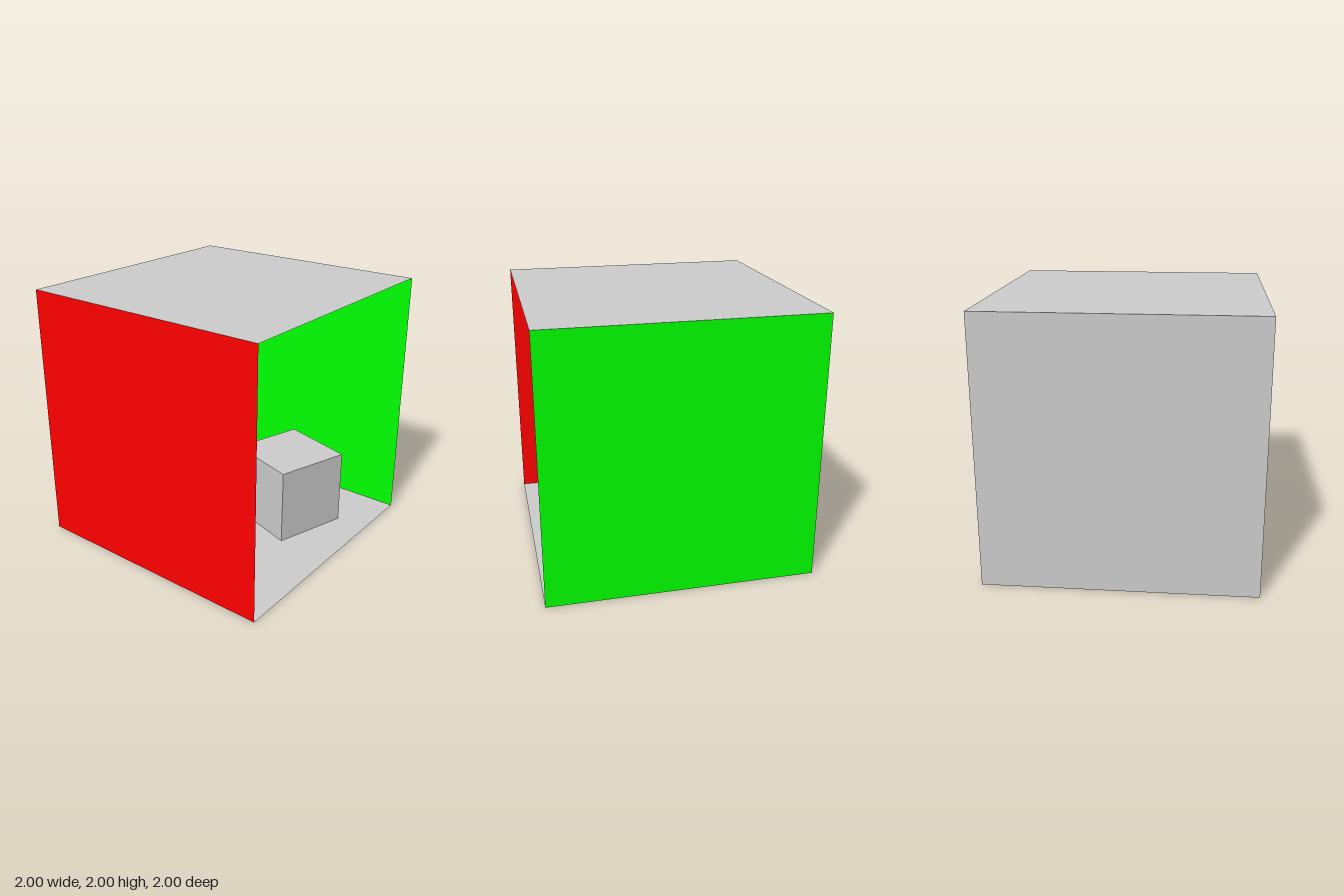
import * as THREE from 'three';

const material = (color, side = THREE.FrontSide) =>
  new THREE.MeshStandardMaterial({ color, side });

export function createModel() {
  const room = new THREE.Group();
  room.name = 'room';

  const grey = material(0xcccccc);
  const greySheet = material(0xcccccc, THREE.DoubleSide);
  const red = material(0xff0000, THREE.DoubleSide);
  const green = material(0x00ff00, THREE.DoubleSide);

  // Thin panels of the room, open at the front: name, material, position, rotation
  const panels = [
    ['floor', greySheet, [0, 0, 0], [-Math.PI / 2, 0, 0]],
    ['ceiling', greySheet, [0, 2, 0], [Math.PI / 2, 0, 0]],
    ['backWall', greySheet, [0, 1, -1], [0, 0, 0]],
    ['redWall', red, [-1, 1, 0], [0, Math.PI / 2, 0]],
    ['greenWall', green, [1, 1, 0], [0, -Math.PI / 2, 0]],
  ];
  for (const [name, mat, position, rotation] of panels) {
    const panel = new THREE.Mesh(new THREE.PlaneGeometry(2, 2), mat);
    panel.name = name;
    panel.position.set(...position);
    panel.rotation.set(...rotation);
    room.add(panel);
  }

  // Turned blocks on the floor, from [x, z] footprints
  const addBlock = (name, height, footprint) => {
    const shape = new THREE.Shape(footprint.map(([x, z]) => new THREE.Vector2(x, -z)));
    const geometry = new THREE.ExtrudeGeometry(shape, { depth: height, bevelEnabled: false });
    geometry.rotateX(-Math.PI / 2);
    const block = new THREE.Mesh(geometry, grey);
    block.name = name;
    room.add(block);
  };
  addBlock('shortBlock', 0.6, [[0.53, 0.75], [0.7, 0.17], [0.13, 0], [-0.05, 0.57]]);
  addBlock('tallBlock', 1.2, [[-0.53, 0.09], [0.04, -0.09], [-0.14, -0.67], [-0.71, -0.49]]);

  return room;
}
